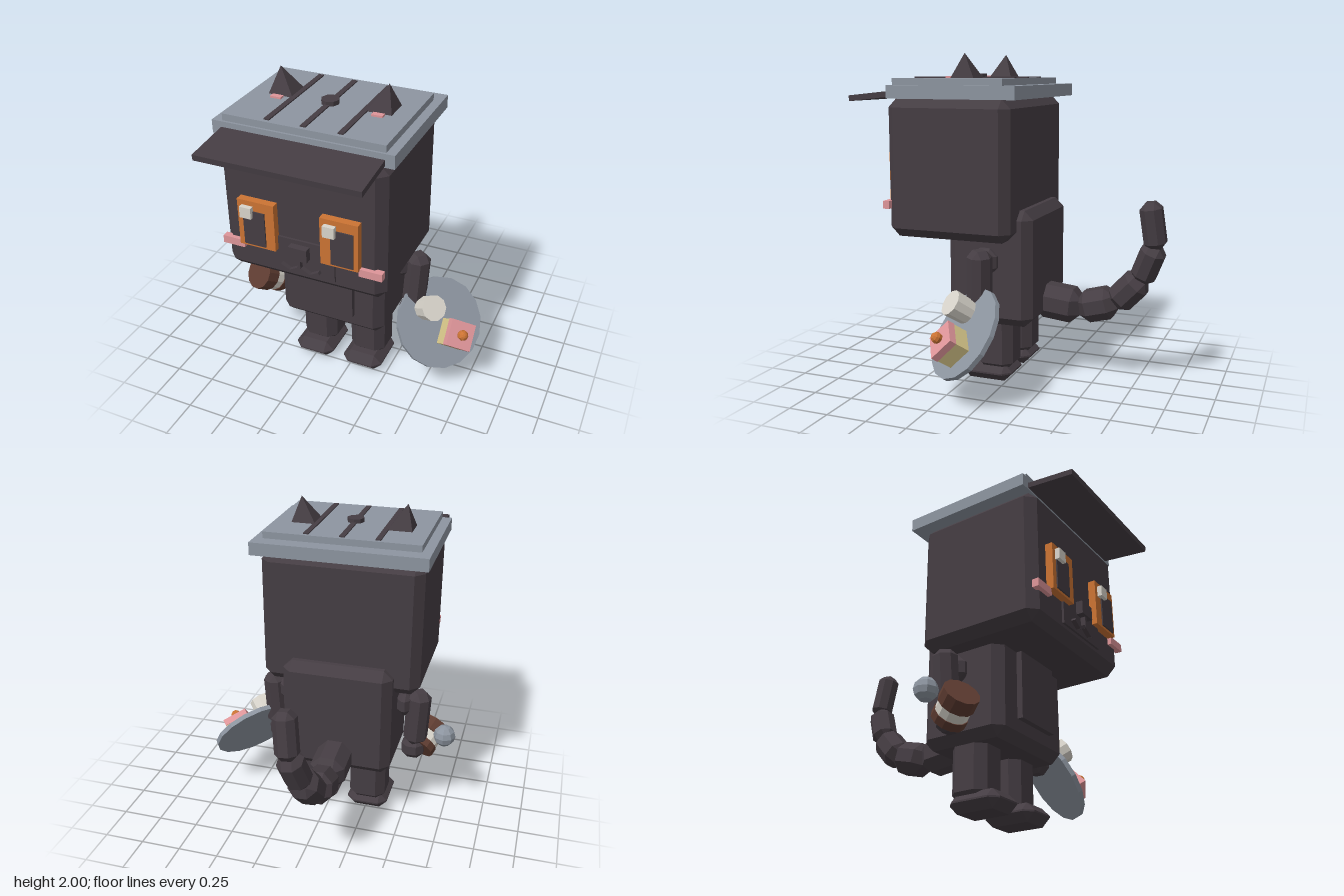
import * as THREE from 'three';
import { ConvexGeometry } from 'three/addons/geometries/ConvexGeometry.js';

const paint = (name, color) => Object.assign(new THREE.MeshStandardMaterial({ color }), { name });
const CX = -0.088; // the body's own mirror plane
const V = (x, y, z) => new THREE.Vector3(x, y, z);

// Faceted copy of a geometry
function flat(geometry) {
  const g = geometry.index ? geometry.toNonIndexed() : geometry;
  g.computeVertexNormals();
  return g;
}

// Box with every edge and corner cut off
function chamferBox(w, h, d, c) {
  const pts = [];
  const x = w / 2, y = h / 2, z = d / 2;
  for (const i of [-1, 1]) for (const j of [-1, 1]) for (const k of [-1, 1]) {
    pts.push(V(i * x, j * (y - c), k * (z - c)));
    pts.push(V(i * (x - c), j * y, k * (z - c)));
    pts.push(V(i * (x - c), j * (y - c), k * z));
  }
  return new ConvexGeometry(pts);
}

export function createModel() {
  const model = new THREE.Group();
  model.name = 'catFigure';
  const fur = paint('darkFur', 0x453d43);
  const grey = paint('blueGrey', 0x8d95a0);
  const orange = paint('orange', 0xcb7333);
  const pink = paint('pink', 0xde9599);
  const cream = paint('cream', 0xd8d4cb);
  const yellow = paint('spongeYellow', 0xd8c78a);
  const brown = paint('brown', 0x5e3c31);

  function add(name, geometry, material, x = 0, y = 0, z = 0, parent = model) {
    const mesh = new THREE.Mesh(geometry, material);
    mesh.name = name;
    mesh.position.set(x, y, z);
    parent.add(mesh);
    return mesh;
  }
  // Parts given by their limits along x, y and z
  const box = (name, m, x0, x1, y0, y1, z0, z1) =>
    add(name, new THREE.BoxGeometry(x1 - x0, y1 - y0, z1 - z0), m, (x0 + x1) / 2, (y0 + y1) / 2, (z0 + z1) / 2);
  const chamfered = (name, m, x0, x1, y0, y1, z0, z1, c) =>
    add(name, chamferBox(x1 - x0, y1 - y0, z1 - z0, c), m, (x0 + x1) / 2, (y0 + y1) / 2, (z0 + z1) / 2);
  // Chamfered bar between two points
  function bar(name, a, b, width, c, m = fur) {
    const dir = b.clone().sub(a);
    const mid = a.clone().add(b).multiplyScalar(0.5);
    const mesh = add(name, chamferBox(width, dir.length(), width, c), m, mid.x, mid.y, mid.z);
    mesh.quaternion.setFromUnitVectors(V(0, 1, 0), dir.normalize());
    return mesh;
  }

  // Head, torso and chest panel
  chamfered('head', fur, -0.58, 0.4, 0.91, 1.74, -0.1, 0.68, 0.055);
  chamfered('torso', fur, -0.43, 0.255, 0.375, 1.085, -0.185, 0.355, 0.055);
  box('chestPanel', fur, -0.255, 0.08, 0.505, 0.93, 0.34, 0.39);

  // Limbs, cheeks and ears on both sides
  for (const s of [-1, 1]) {
    const side = s > 0 ? 'left' : 'right';
    const at = (d) => CX + s * d;
    const span = (a, b) => [Math.min(at(a), at(b)), Math.max(at(a), at(b))];
    chamfered(side + 'Leg', fur, ...span(0.052, 0.286), 0.06, 0.43, -0.035, 0.2, 0.053);
    chamfered(side + 'Foot', fur, ...span(0.038, 0.302), 0, 0.11, -0.035, 0.295, 0.05);
    chamfered(side + 'Shoulder', fur, ...span(0.33, 0.44), 0.705, 0.865, 0.005, 0.16, 0.045);
    bar(side + 'Arm', V(at(0.475), 0.87, 0.08), V(at(0.455), 0.5, 0.09), 0.14, 0.04);
    chamfered(side + 'Paw', fur, ...span(0.375, 0.515), 0.39, 0.53, 0.03, 0.17, 0.04);
    box(side + 'Cheek', pink, ...span(0.35, 0.487), 1.08, 1.127, 0.665, 0.705);

    // Ear: four-sided pyramid leaning outwards
    const ear = new THREE.ConeGeometry(0.122, 0.17, 4).rotateY(Math.PI / 4);
    const p = ear.attributes.position;
    for (let i = 0; i < p.count; i++) p.setX(i, p.getX(i) + s * 0.035 * (p.getY(i) / 0.17 + 0.5));
    add(side + 'Ear', flat(ear), fur, at(0.288), 1.915, 0.23);
    box(side + 'InnerEar', pink, ...span(0.268, 0.333), 1.845, 1.866, 0.315, 0.35);
  }

  // Eyes, with both glints on the same side
  for (const [side, x, pupil] of [['right', -0.45, 0.035], ['left', 0.047, 0.065]]) {
    box(side + 'Iris', orange, x, x + 0.223, 1.12, 1.41, 0.67, 0.725);
    box(side + 'Pupil', fur, x + pupil, x + pupil + 0.132, 1.135, 1.35, 0.724, 0.733);
    box(side + 'Glint', cream, x + 0.028, x + 0.097, 1.313, 1.38, 0.724, 0.754);
  }

  // Muzzle, nose and mouth
  box('muzzle', fur, -0.29, 0.115, 0.985, 1.205, 0.67, 0.693);
  box('nose', fur, -0.145, -0.033, 1.1, 1.18, 0.69, 0.735);
  box('mouthStem', fur, -0.096, -0.08, 1.03, 1.1, 0.69, 0.722);
  for (const s of [-1, 1]) for (const [d, tilt] of [[0.035, -0.5], [0.09, 0.5]]) {
    const lip = add('mouthCurve', new THREE.BoxGeometry(0.065, 0.018, 0.03), fur, CX + s * d, 1.022, 0.705);
    lip.rotation.z = s * tilt;
  }

  // Hat with ribs, knob and sloping visor
  box('hatBrim', grey, -0.613, 0.435, 1.738, 1.815, -0.16, 0.645);
  box('hatTop', grey, -0.555, 0.383, 1.81, 1.855, -0.065, 0.632);
  for (const x of [-0.3, CX, 0.125]) box('hatRib', fur, x - 0.016, x + 0.016, 1.85, 1.862, 0.045 - 0.09, 0.61);
  add('hatKnob', flat(new THREE.CylinderGeometry(0.052, 0.052, 0.035, 8)), fur, CX, 1.863, 0.28);
  const visor = add('visor', new THREE.BoxGeometry(0.94, 0.034, 0.34), fur, CX, 1.753, 0.76);
  visor.rotation.x = 0.105;

  // Tail: a chain of bars curling upwards
  const tail = [
    [-0.09, 0.485, -0.13], [-0.09, 0.455, -0.41], [-0.085, 0.515, -0.63],
    [-0.06, 0.68, -0.785], [-0.02, 0.89, -0.87], [0.005, 1.15, -0.835],
  ].map((q) => V(...q));
  [0.215, 0.195, 0.175, 0.15, 0.13].forEach((w, i) => {
    const reach = tail[i + 1].clone().sub(tail[i]).setLength(0.02);
    bar('tailSegment' + (i + 1), tail[i].clone().sub(reach), tail[i + 1], w, w * 0.29);
  });

  // Tilted tray in the left paw with cup and cake
  const n = V(0.62, 0.56, 0.55).normalize();
  const v = n.clone().cross(V(0, 0.72, -0.69)).normalize();
  const u = v.clone().cross(n);
  const tray = new THREE.Group();
  tray.name = 'servingTray';
  tray.quaternion.setFromRotationMatrix(new THREE.Matrix4().makeBasis(v, n, u));
  tray.position.set(0.545, 0.41, 0.105);
  model.add(tray);
  add('trayPlate', flat(new THREE.CylinderGeometry(0.285, 0.285, 0.03, 16)), grey, 0, 0, 0, tray);
  add('cup', flat(new THREE.CylinderGeometry(0.08, 0.075, 0.13, 10)), cream, 0.122, 0.08, 0.058, tray);
  add('cakeSponge', new THREE.BoxGeometry(0.16, 0.095, 0.16), yellow, -0.093, 0.062, -0.05, tray);
  add('cakeIcing', new THREE.BoxGeometry(0.165, 0.045, 0.165), pink, -0.093, 0.13, -0.05, tray);
  add('cakeCherry', flat(new THREE.SphereGeometry(0.034, 8, 6)), orange, -0.093, 0.174, -0.05, tray);

  // Banded jar and ball at the right paw
  const jar = new THREE.Group();
  jar.name = 'jar';
  jar.position.set(-0.595, 0.488, 0.17);
  jar.quaternion.setFromUnitVectors(V(0, 1, 0), V(-0.38, 0.53, 0.76).normalize());
  model.add(jar);
  const drum = (name, r, h, y, m) => add(name, flat(new THREE.CylinderGeometry(r, r, h, 12)), m, 0, y, 0, jar);
  drum('jarLid', 0.105, 0.085, 0.078, brown);
  drum('jarBand', 0.095, 0.07, 0.005, cream);
  drum('jarBase', 0.1, 0.05, -0.05, brown);
  add('ball', flat(new THREE.SphereGeometry(0.07, 8, 6)), grey, -0.73, 0.575, 0.09);

  return model;
}
